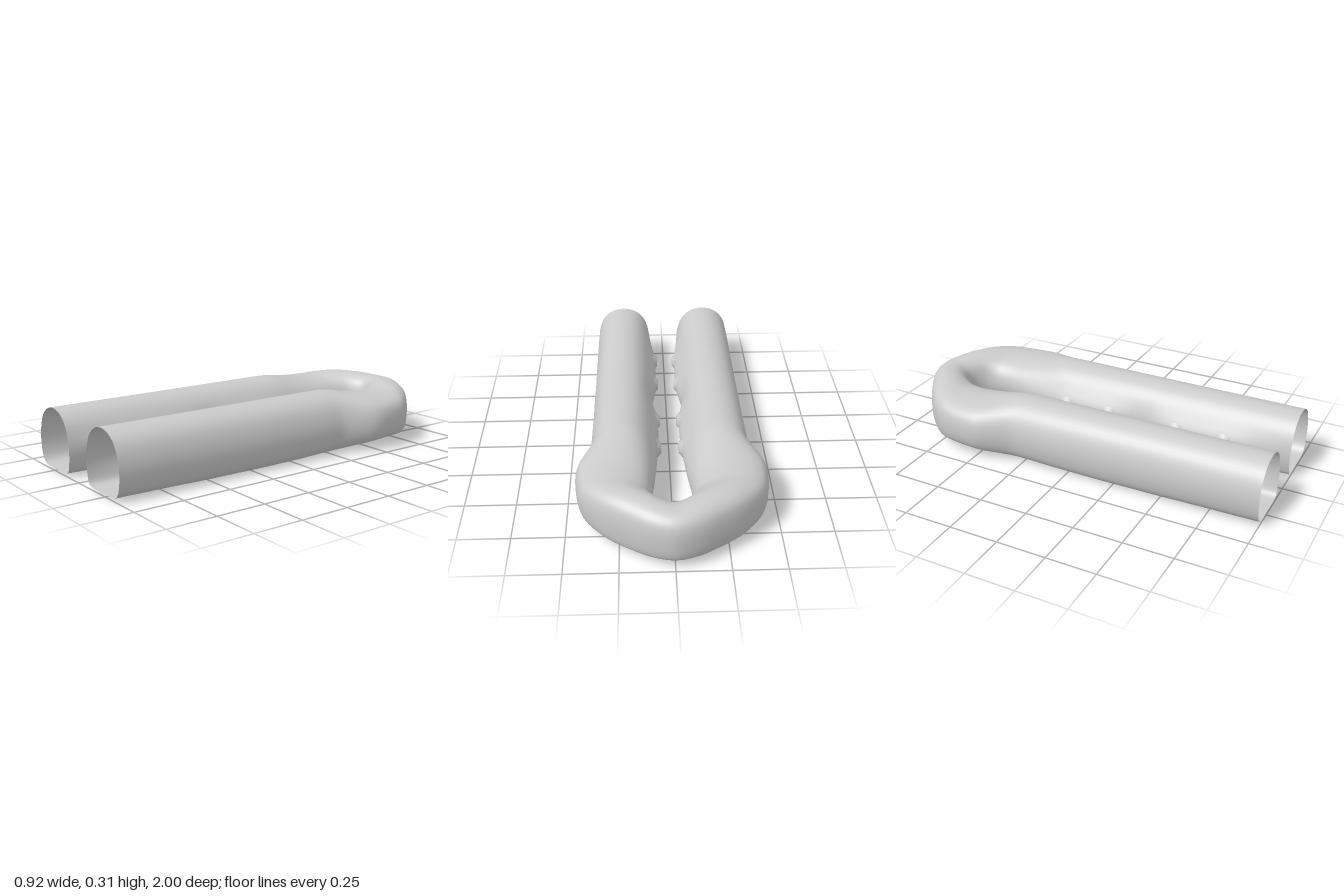
import * as THREE from 'three';

// Stations along one leg: inner x, inner z, outer x, outer z, bottom y, top y, inner-wall bulge
const STATIONS = [
  [0.085, 1.0, 0.385, 1.0, 0.010, 0.31, 0],
  [0.085, 0.85, 0.387, 0.85, 0.008, 0.31, 0.012],
  [0.085, 0.7, 0.387, 0.7, 0.006, 0.31, 0.03],
  [0.085, 0.52, 0.388, 0.52, 0.002, 0.31, 0.031],
  [0.085, 0.36, 0.388, 0.36, 0.001, 0.31, 0.03],
  [0.085, 0.2, 0.39, 0.2, 0, 0.31, 0.007],
  [0.085, 0.04, 0.39, 0.04, 0.001, 0.31, 0.03],
  [0.085, -0.1, 0.392, -0.1, 0.004, 0.31, 0.031],
  [0.085, -0.22, 0.393, -0.22, 0.008, 0.31, 0.03],
  [0.085, -0.31, 0.396, -0.3, 0.010, 0.308, 0.022],
  [0.086, -0.42, 0.425, -0.38, 0.022, 0.293, 0.014],
  [0.088, -0.52, 0.453, -0.46, 0.034, 0.28, 0.006],
  [0.091, -0.6, 0.457, -0.54, 0.042, 0.272, 0],
  [0.091, -0.67, 0.44, -0.66, 0.043, 0.272, 0],
  [0.085, -0.71, 0.405, -0.735, 0.039, 0.28, 0],
  [0.07, -0.745, 0.32, -0.83, 0.034, 0.288, 0],
  [0.045, -0.77, 0.21, -0.91, 0.034, 0.286, 0],
  [0.022, -0.782, 0.11, -0.97, 0.036, 0.28, 0],
  [0, -0.785, 0, -1.0, 0.038, 0.275, 0],
];

// Cross-sections (inner 0 to outer 1, bottom 0 to top 1): arched legs, boxier bend
const ARCH = [
  [0.14, 0.004], [0.48, 0], [0.8, 0.004], [0.9, 0.05], [0.965, 0.16], [1, 0.4],
  [0.965, 0.63], [0.87, 0.83], [0.71, 0.955], [0.5, 1], [0.28, 0.95],
  [0.12, 0.81], [0.035, 0.62], [0, 0.4], [0.02, 0.17], [0.06, 0.05],
];
const BOX = [
  [0.2, 0.004], [0.5, 0], [0.8, 0.01], [0.93, 0.05], [0.98, 0.18], [1, 0.4],
  [0.985, 0.66], [0.92, 0.84], [0.76, 0.96], [0.5, 1], [0.28, 0.95],
  [0.12, 0.83], [0.03, 0.64], [0, 0.4], [0.03, 0.18], [0.09, 0.06],
];
const SIDES = 48;

function sampleProfile(points) {
  const curve = new THREE.CatmullRomCurve3(
    points.map(([u, v]) => new THREE.Vector3(u, v, 0)), true, 'centripetal');
  return Array.from({ length: SIDES }, (_, i) => curve.getPoint(i / SIDES));
}

// Smooth interpolation between stations, mirrored past the middle of the bend
function sampleStations(steps) {
  const last = STATIONS.length - 1;
  const mirrored = STATIONS.slice(0, last).reverse()
    .map(([ix, iz, ox, ...rest]) => [-ix, iz, -ox, ...rest]);
  const all = [...STATIONS, ...mirrored];
  const at = (i) => all[THREE.MathUtils.clamp(i, 0, all.length - 1)];
  const rings = [];
  for (let i = 0; i < all.length - 1; i++) {
    for (let s = 0; s < steps; s++) rings.push(blend(i, s / steps));
  }
  rings.push(all[all.length - 1]);
  return rings;

  function blend(i, t) {
    return at(i).map((p1, k) => {
      const p0 = at(i - 1)[k], p2 = at(i + 1)[k], p3 = at(i + 2)[k];
      return p1 + 0.5 * t * (p2 - p0 + t * (2 * p0 - 5 * p1 + 4 * p2 - p3
        + t * (3 * (p1 - p2) + p3 - p0)));
    });
  }
}

// Open-ended hollow tube lofted through all the sections
function buildTube() {
  const arch = sampleProfile(ARCH), box = sampleProfile(BOX);
  const rings = sampleStations(3);
  const positions = [], indices = [];
  rings.forEach(([ix, iz, ox, oz, y0, y1, bulge]) => {
    const bend = THREE.MathUtils.smoothstep(-(iz + oz) / 2, 0.25, 0.65);
    for (let j = 0; j < SIDES; j++) {
      const p = arch[j].clone().lerp(box[j], bend);
      const side = Math.max(0, 1 - p.x / 0.3);
      const push = bulge * side * Math.exp(-(((p.y - 0.42) / 0.26) ** 2));
      positions.push(
        ix + (ox - ix) * p.x - Math.sign(ix) * push,
        y0 + (y1 - y0) * p.y,
        iz + (oz - iz) * p.x);
    }
  });
  for (let i = 0; i < rings.length - 1; i++) {
    for (let j = 0; j < SIDES; j++) {
      const k = (j + 1) % SIDES;
      const a = i * SIDES + j, b = i * SIDES + k;
      const c = a + SIDES, d = b + SIDES;
      indices.push(a, b, c, b, d, c);
    }
  }
  const geometry = new THREE.BufferGeometry();
  geometry.setAttribute('position', new THREE.Float32BufferAttribute(positions, 3));
  geometry.setIndex(indices);
  geometry.computeVertexNormals();
  return geometry;
}

export function createModel() {
  const model = new THREE.Group();
  model.name = 'bentTube';
  const material = new THREE.MeshStandardMaterial({ color: 0xcccccc, side: THREE.DoubleSide });

  const tube = new THREE.Mesh(buildTube(), material);
  tube.name = 'tube';
  model.add(tube);

  // Small flattened studs along the facing inner walls
  const studShape = new THREE.CylinderGeometry(0.026, 0.052, 0.022, 8);
  studShape.rotateZ(Math.PI / 2);
  for (const side of [-1, 1]) {
    for (const z of [0.66, 0.4, 0.02, -0.23]) {
      const stud = new THREE.Mesh(studShape, material);
      stud.name = side > 0 ? 'leftStud' : 'rightStud';
      stud.position.set(side * 0.054, 0.13, z);
      if (side < 0) stud.rotation.y = Math.PI;
      model.add(stud);
    }
  }
  return model;
}
